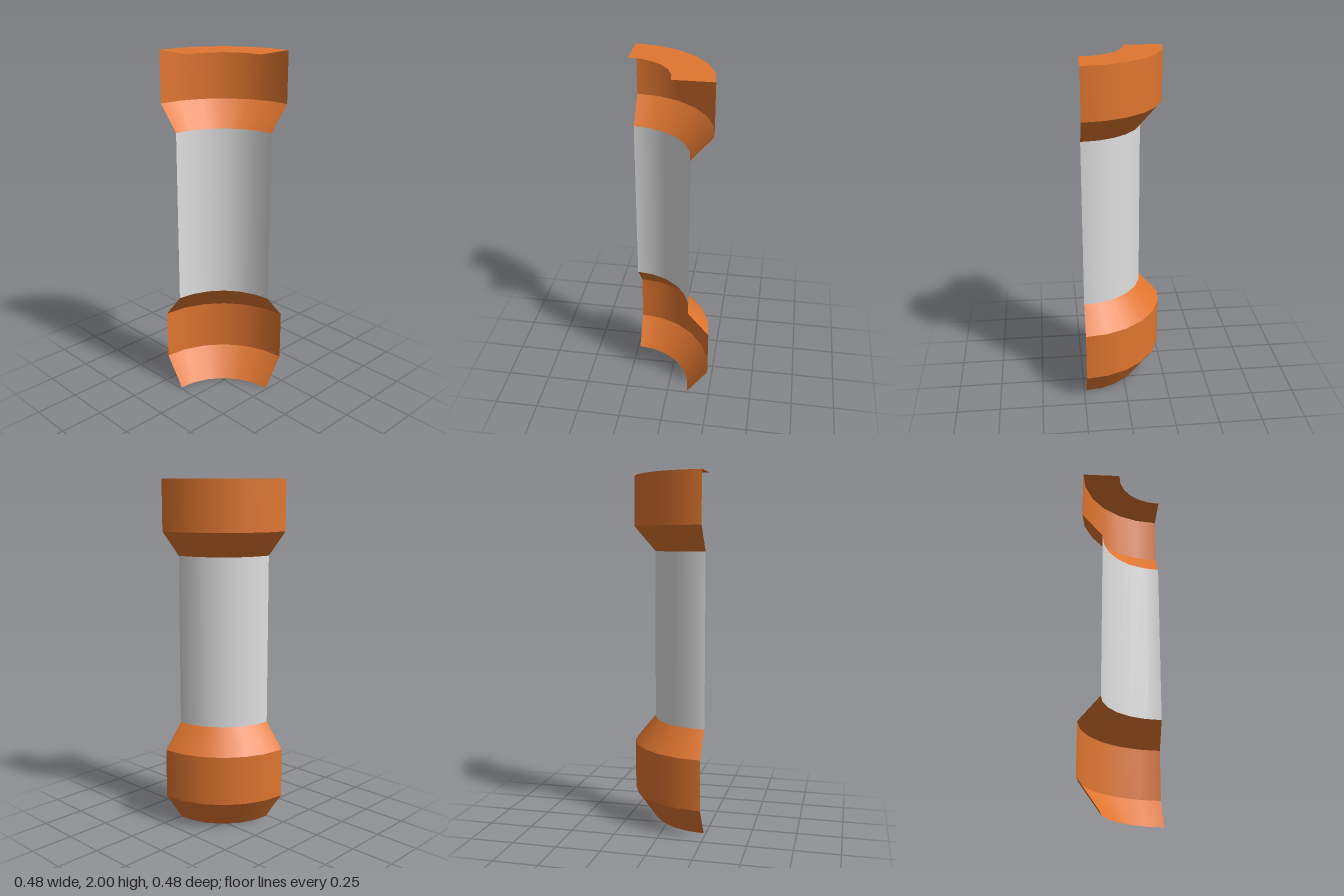
import * as THREE from 'three';

const R = 0.477;       // outer radius of the collars
const SHAFT_R = 0.358; // radius of the shaft
const INNER_R = 0.262; // opening in the top rim

export function createModel() {
  const group = new THREE.Group();
  group.name = 'quarterColumn';

  const orange = new THREE.MeshStandardMaterial({ color: 0xe0762f, side: THREE.DoubleSide });
  orange.name = 'orange';
  const lightGrey = new THREE.MeshStandardMaterial({ color: 0xe0e0e0, side: THREE.DoubleSide });
  lightGrey.name = 'light grey';

  // Quarter-turn band from (r0, y0) to (r1, y1); separate bands keep their edges sharp
  function band(name, material, r0, y0, r1, y1) {
    const profile = [new THREE.Vector2(r0, y0), new THREE.Vector2(r1, y1)];
    const mesh = new THREE.Mesh(new THREE.LatheGeometry(profile, 6, Math.PI / 2, Math.PI / 2), material);
    mesh.name = name;
    // The turning axis lies on the front right corner of the bounds
    mesh.position.set(-R / 2, 0, R / 2);
    group.add(mesh);
  }

  // Lower collar, open underneath
  band('baseTaper', orange, SHAFT_R, 0, R, 0.17);
  band('baseCollar', orange, R, 0.17, R, 0.457);
  band('baseShoulder', orange, R, 0.457, SHAFT_R, 0.6);
  // Shaft
  band('shaft', lightGrey, SHAFT_R, 0.6, SHAFT_R, 1.577);
  // Upper collar with its flat rim
  band('topShoulder', orange, SHAFT_R, 1.577, R, 1.717);
  band('topCollar', orange, R, 1.717, R, 2);
  band('topRim', orange, R, 2, INNER_R, 2);

  return group;
}
